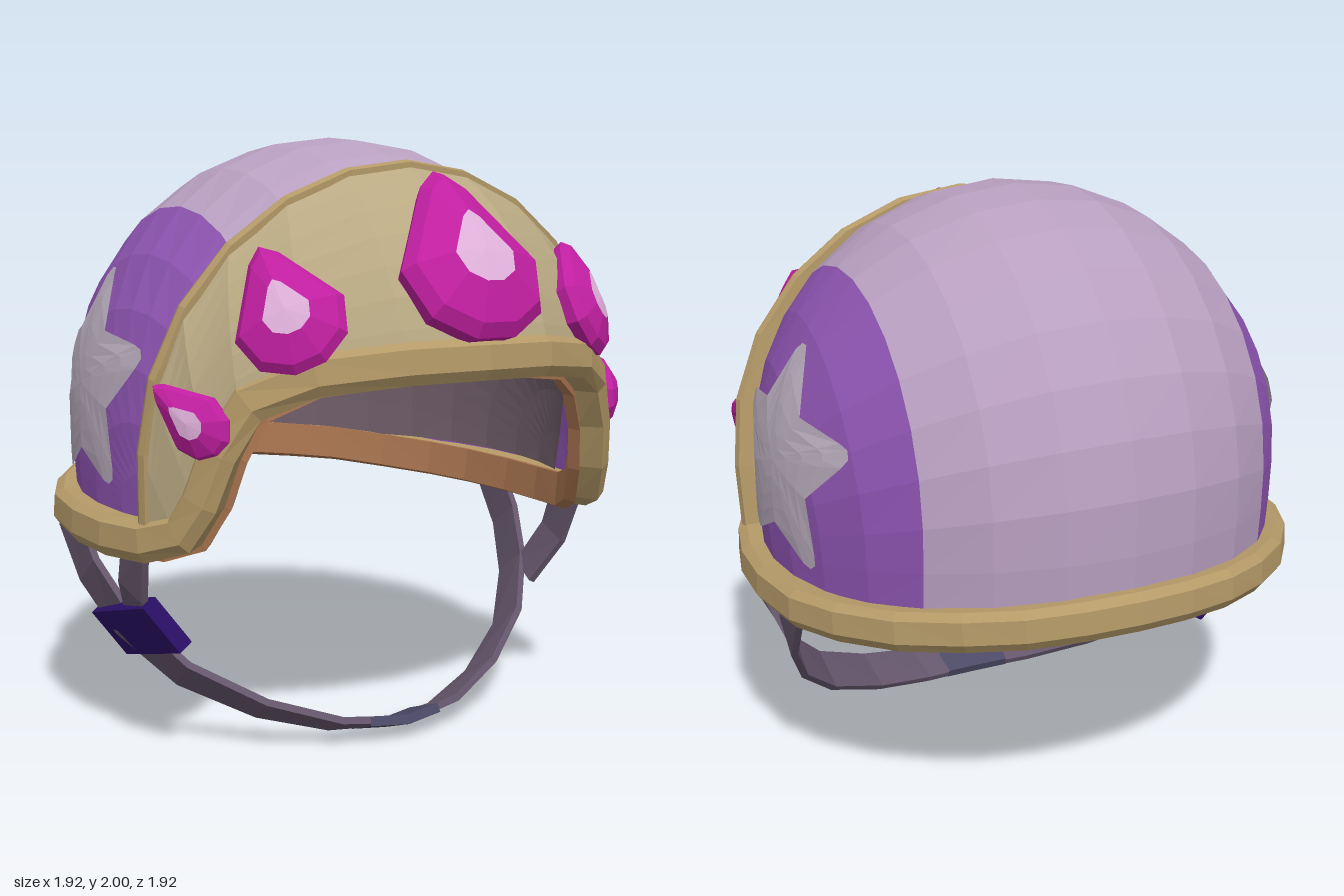
import * as THREE from 'three';

const V = (x, y, z) => new THREE.Vector3(x, y, z);
const CY = 1.1, RX = 0.895, RY = 0.9, RZ = 0.9;

// Helmet form: an ellipsoid whose lower half is stretched downward
const drop = y => (y < CY ? 0.5 : 1) * (y - CY);
const level = p => Math.hypot(p.x / RX, drop(p.y) / RY, p.z / RZ);
function project(p, k = 1) {
  const low = p.y < CY;
  const s = low
    ? Math.sqrt(1 - (drop(p.y) / RY) ** 2) / Math.hypot(p.x / RX, p.z / RZ)
    : 1 / level(p);
  return V(p.x * s * k, low ? p.y : CY + (p.y - CY) * s * k, p.z * s * k);
}
// The brow plate flares a little towards the sides
function onPlate(p, k) {
  const q = project(p, k);
  q.x *= 1 + 0.06 * Math.abs(q.x);
  return q;
}

const mat = color => new THREE.MeshStandardMaterial({ color, flatShading: true, side: THREE.DoubleSide });
const M = {
  shell: mat(0xb89fc0), side: mat(0x8f55b3), star: mat(0xb9acbc), plate: mat(0xb9a983),
  rim: mat(0xb59a68), lining: mat(0x6f5c68), pad: mat(0xa8744f), gem: mat(0xc01fa0),
  table: mat(0xdfb0da), strap: mat(0x65566c), buckle: mat(0x2c1068), chin: mat(0x4c4a66)
};

// Skin over rows of points
function grid(rows, closeRow = false, closeCol = false) {
  const n = rows[0].length, m = rows.length, idx = [];
  for (let i = 0; i < (closeCol ? m : m - 1); i++)
    for (let j = 0; j < (closeRow ? n : n - 1); j++) {
      const a = i * n + j, b = i * n + (j + 1) % n, k = ((i + 1) % m) * n;
      const c = k + (j + 1) % n, d = k + j;
      idx.push(a, b, c, a, c, d);
    }
  let g = new THREE.BufferGeometry().setFromPoints(rows.flat());
  g.setIndex(idx);
  g = g.toNonIndexed();
  g.computeVertexNormals();
  return g;
}

// Sweep a cross-section [across normal, sideways] along a path
function sweep(path, normalAt, section, closed = false) {
  const n = path.length;
  const rows = path.map((p, i) => {
    const a = closed ? path[(i + n - 1) % n] : path[Math.max(i - 1, 0)];
    const b = closed ? path[(i + 1) % n] : path[Math.min(i + 1, n - 1)];
    const T = b.clone().sub(a).normalize();
    const N = normalAt(p, i / (n - 1));
    N.addScaledVector(T, -N.dot(T)).normalize();
    const B = T.clone().cross(N);
    return section.map(([u, v]) => p.clone().addScaledVector(N, u).addScaledVector(B, v));
  });
  return grid(rows, true, closed);
}

const mirrorPath = half => [...half.map(p => V(-p.x, p.y, p.z)), ...half.slice(1, -1).reverse()];
const rect = (w, t) => [[-w, -t], [w, -t], [w, t], [-w, t]];

// Where a ray from the hinge line between the two lower corners meets the form
function shellPoint(a, phi) {
  const d = V(Math.sin(a), Math.cos(a) * Math.sin(phi), Math.cos(a) * Math.cos(phi));
  const o = V(0, 0.8, 0.3);
  let lo = 0, hi = 2.5;
  for (let i = 0; i < 30; i++) {
    const t = (lo + hi) / 2;
    if (level(o.clone().addScaledVector(d, t)) < 1) lo = t; else hi = t;
  }
  return o.addScaledVector(d, lo);
}

// Columns of a shell row; the colour split lies at x = 0.6
function shellRow(phi) {
  let lo = 0, hi = Math.PI / 2;
  for (let i = 0; i < 25; i++) {
    const t = (lo + hi) / 2;
    if (shellPoint(t, phi).x < 0.6) lo = t; else hi = t;
  }
  const span = (a, b, n) => Array.from({ length: n + 1 }, (_, i) => shellPoint(a + (b - a) * i / n, phi));
  return [span(-Math.PI / 2, -lo, 6), span(-lo, lo, 6), span(lo, Math.PI / 2, 6)];
}

// Faceted jewel with a pointed top, set on the brow plate
function makeGem(spot, w, h, tilt) {
  const n = V(spot.x / RX ** 2, (spot.y - CY) / RY ** 2, spot.z / RZ ** 2).normalize();
  const up = V(0, 1, 0).addScaledVector(n, -n.y).normalize();
  const right = up.clone().cross(n);
  const tip = up.clone().multiplyScalar(Math.cos(tilt)).addScaledVector(right, Math.sin(tilt));
  const half = [[-0.14, 0.4], [-0.5, -0.1], [-0.4, -0.37], [-0.14, -0.5]];
  const outline = [[0, 0.5], ...half, ...half.map(([x, y]) => [-x, y]).reverse()];
  const c = onPlate(spot, 1.02);
  const ring = (s, z) => outline.map(([x, y]) => V(x * w * s, (y + 0.08) * h * s - 0.08 * h, z * h));
  const g = new THREE.Group();
  g.add(new THREE.Mesh(grid([ring(0.88, -0.12), ring(1, 0.03), ring(0.88, 0.1), ring(0.42, 0.18)], true), M.gem));
  g.add(new THREE.Mesh(grid([ring(0.42, 0.18), ring(0, 0.2)], true), M.table));
  g.applyMatrix4(new THREE.Matrix4().makeBasis(tip.clone().cross(n), tip, n).setPosition(c));
  return g;
}

export function createModel() {
  const root = new THREE.Group();
  const add = (name, geo, material) => {
    const m = new THREE.Mesh(geo, material);
    m.name = name;
    root.add(m);
    return m;
  };

  // Shell: pale centre, purple sides, dark lining
  const rows = Array.from({ length: 13 }, (_, i) => shellRow(1.4 + 1.7 * i / 12));
  ['rightShellPanel', 'centreShell', 'leftShellPanel'].forEach((name, k) =>
    add(name, grid(rows.map(r => r[k])), k === 1 ? M.shell : M.side));
  const shrink = p => V(p.x * 0.95, CY + (p.y - CY) * 0.95, p.z * 0.95);
  add('shellLining', grid(rows.map(r => r.flat().map(shrink)).reverse()), M.lining);

  // Rim: one loop over the face opening and round the back
  const half = [[0, 1.31, 0.865], [0.25, 1.305, 0.83], [0.5, 1.275, 0.725], [0.66, 1.19, 0.61],
    [0.73, 1.04, 0.555], [0.765, 0.89, 0.51], [0.8, 0.785, 0.45], [0.86, 0.745, 0.33], [0.9, 0.74, 0.15],
    [0.905, 0.745, -0.05], [0.87, 0.755, -0.28], [0.79, 0.77, -0.45], [0.66, 0.79, -0.62],
    [0.5, 0.815, -0.755], [0.34, 0.83, -0.84], [0.17, 0.845, -0.89], [0, 0.85, -0.905]].map(p => V(...p));
  const loop = mirrorPath(half), radial = p => V(p.x, 0, p.z);
  add('rim', sweep(loop, radial,
    [[-0.06, -0.05], [0.03, -0.065], [0.055, -0.03], [0.05, 0.045], [0.02, 0.065], [-0.06, 0.06]], true), M.rim);
  add('rimPadding', sweep(loop, radial, [[-0.09, -0.06], [-0.05, -0.075], [-0.05, 0.06], [-0.075, 0.06]], true), M.pad);

  // Brow plate: skin between the seam over the crown and the face opening
  const arch = half.slice(0, 8);
  const lower = [...arch.slice(1).reverse().map(p => V(-p.x, p.y, p.z)), ...arch];
  const seam = lower.map((_, i) => {
    const a = (i - 7) / 7 * 1.95, c = Math.cos(a) * 0.8;
    return project(V(Math.sin(a) * 0.8, CY + c, 0.3 + (0.3 + c) * 0.148));
  });
  const plateRows = k => Array.from({ length: 8 }, (_, r) => lower.map((p, i) =>
    onPlate(p.clone().lerp(seam[i], r / 7), k)));
  add('browPlate', grid(plateRows(1.03)), M.plate);
  add('browLining', grid(plateRows(0.95).reverse()), M.lining);
  add('seamBand', sweep(plateRows(1.02)[7], p => V(p.x, p.y - CY, 0),
    [[-0.04, -0.025], [0.012, -0.025], [0.02, 0], [0.012, 0.025], [-0.04, 0.025]]), M.rim);

  // Rounded star on each side
  const starRows = s => Array.from({ length: 5 }, (_, r) => {
    const pts = [];
    for (let i = 0; i < 5; i++)
      for (const [da, rad] of [[-0.628, 0.215], [-0.11, 0.345], [-0.04, 0.37], [0.04, 0.37], [0.11, 0.345]]) {
        const a = i * Math.PI * 0.4 + da, R = rad * r / 4;
        const y = 1.2 + Math.cos(a) * R, z = -0.1 + Math.sin(a) * R * s;
        const x = RX * Math.sqrt(1 - (drop(y) / RY) ** 2 - (z / RZ) ** 2);
        pts.push(V(s * (x + 0.01), y, z));
      }
    return pts;
  });

  const strapHalf = [[0.89, 0.74, -0.24], [0.875, 0.57, -0.11], [0.81, 0.41, 0.02], [0.67, 0.25, 0.17],
    [0.45, 0.13, 0.3], [0.22, 0.062, 0.39], [0, 0.043, 0.425]].map(p => V(...p));
  for (const s of [1, -1]) {
    const side = s > 0 ? 'left' : 'right';
    add(side + 'Star', grid(starRows(s).reverse(), true), M.star);

    // Brow jewels, smaller towards the sides
    [[V(0.57, 1.49, 0.68), 0.35, 0.42, 0.45], [V(0.83, 1.15, 0.54), 0.2, 0.31, 0.95]].forEach(([p, w, h, t], i) => {
      const g = makeGem(V(p.x * s, p.y, p.z), w, h, t * s);
      g.name = side + (i ? 'SmallGem' : 'MiddleGem');
      root.add(g);
    });

    // Front strap on each side
    add(side + 'FrontStrap', sweep([V(0.875, 0.74, 0.26), V(0.86, 0.56, 0.2), V(0.79, 0.4, 0.12)].map(p => V(p.x * s, p.y, p.z)),
      () => V(0, 0.2, 1), rect(0.07, 0.012)), M.strap);
  }
  const bigGem = makeGem(V(0, 1.63, 0.78), 0.51, 0.6, 0);
  bigGem.name = 'centreGem';
  root.add(bigGem);

  // Chin strap, chin sleeve and buckle
  const strap = [...strapHalf, ...strapHalf.slice(0, -1).reverse().map(p => V(-p.x, p.y, p.z))];
  add('chinStrap', sweep(strap, (p, t) => {
    const k = Math.abs(2 * t - 1);
    return V(0, 0.34 + 0.3 * k, 0.94 - 0.18 * k);
  }, rect(0.075, 0.012)), M.strap);
  add('chinSleeve', sweep([V(-0.13, 0.054, 0.406), V(0, 0.043, 0.425), V(0.13, 0.054, 0.406)],
    () => V(0, 0.34, 0.94), rect(0.077, 0.016)), M.chin);
  const buckle = add('buckle', new THREE.BoxGeometry(0.055, 0.19, 0.42), M.buckle);
  buckle.position.set(-0.79, 0.41, 0.1);
  buckle.rotation.set(-0.25, 0, 0.6);

  return root;
}
